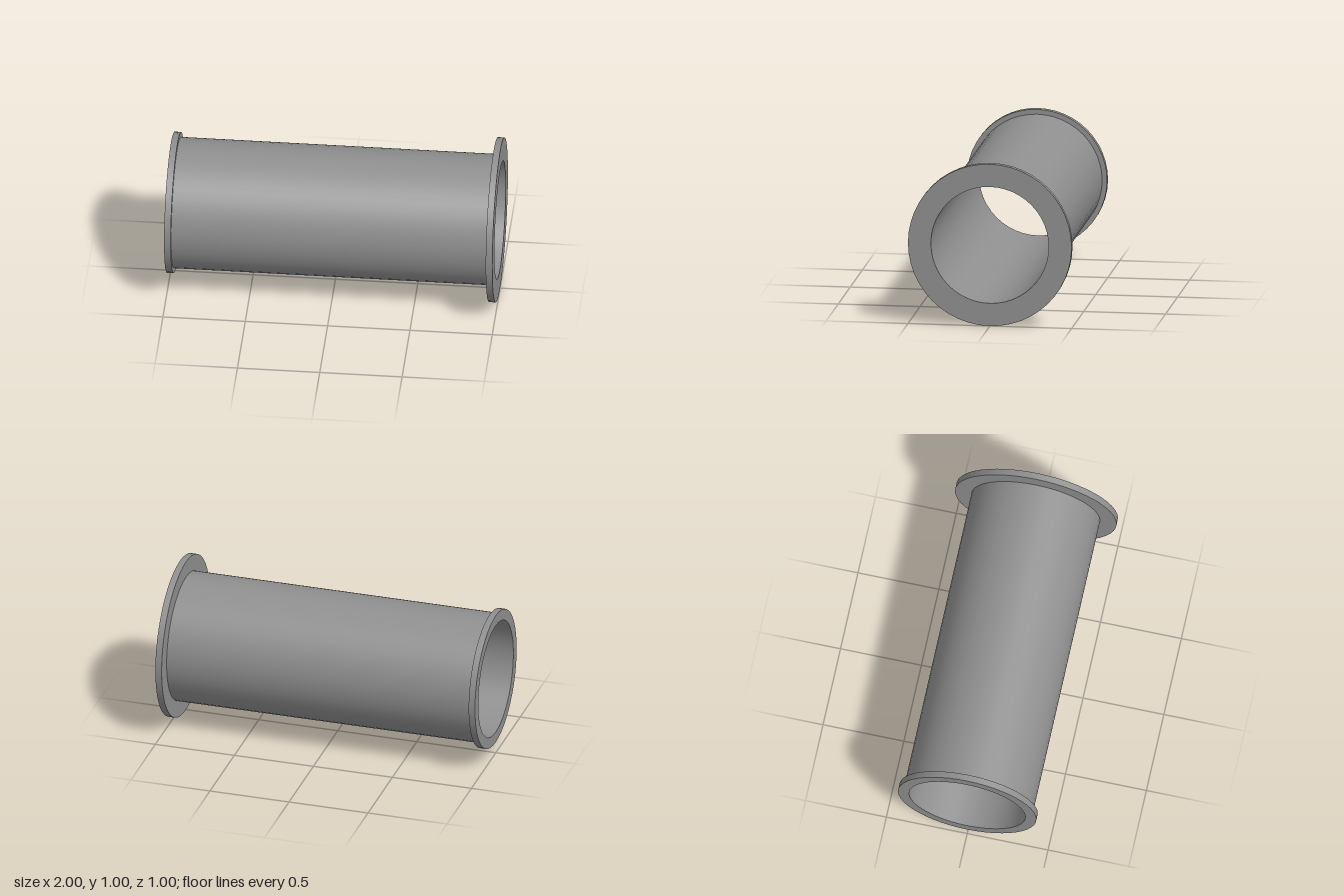
import * as THREE from 'three';
import { mergeGeometries } from 'three/addons/utils/BufferGeometryUtils.js';

const SIDES = 48;
const BORE = 0.36, BARREL = 0.398, SMALL_RIM = 0.428, LARGE_RIM = 0.5;
const END = 1, FLANGE = 0.04;

// Revolve each profile segment on its own so the edges between them stay sharp.
// Points are [radius, x]; the surface faces outward when x increases.
function revolve(points) {
  const bands = [];
  for (let i = 0; i < points.length - 1; i++) {
    const pair = [points[i], points[i + 1]].map(([r, x]) => new THREE.Vector2(r, x));
    bands.push(new THREE.LatheGeometry(pair, SIDES));
  }
  return mergeGeometries(bands).rotateZ(-Math.PI / 2);
}

export function createModel() {
  const group = new THREE.Group();
  group.name = 'flangedSleeve';
  const metal = new THREE.MeshStandardMaterial({ color: 0x909090 });
  metal.name = 'grey metal';

  const inner = END - FLANGE;
  const parts = {
    // thin end collar, open where it meets the barrel
    smallFlange: [[BORE, -END], [SMALL_RIM, -END], [SMALL_RIM, -inner], [BARREL, -inner]],
    barrel: [[BARREL, -inner], [BARREL, inner]],
    // wide mounting flange
    largeFlange: [[BARREL, inner], [LARGE_RIM, inner], [LARGE_RIM, END], [BORE, END]],
    // inside wall of the through hole
    bore: [[BORE, END], [BORE, -END]],
  };
  for (const [name, profile] of Object.entries(parts)) {
    const mesh = new THREE.Mesh(revolve(profile), metal);
    mesh.name = name;
    mesh.position.y = LARGE_RIM;
    group.add(mesh);
  }
  return group;
}
